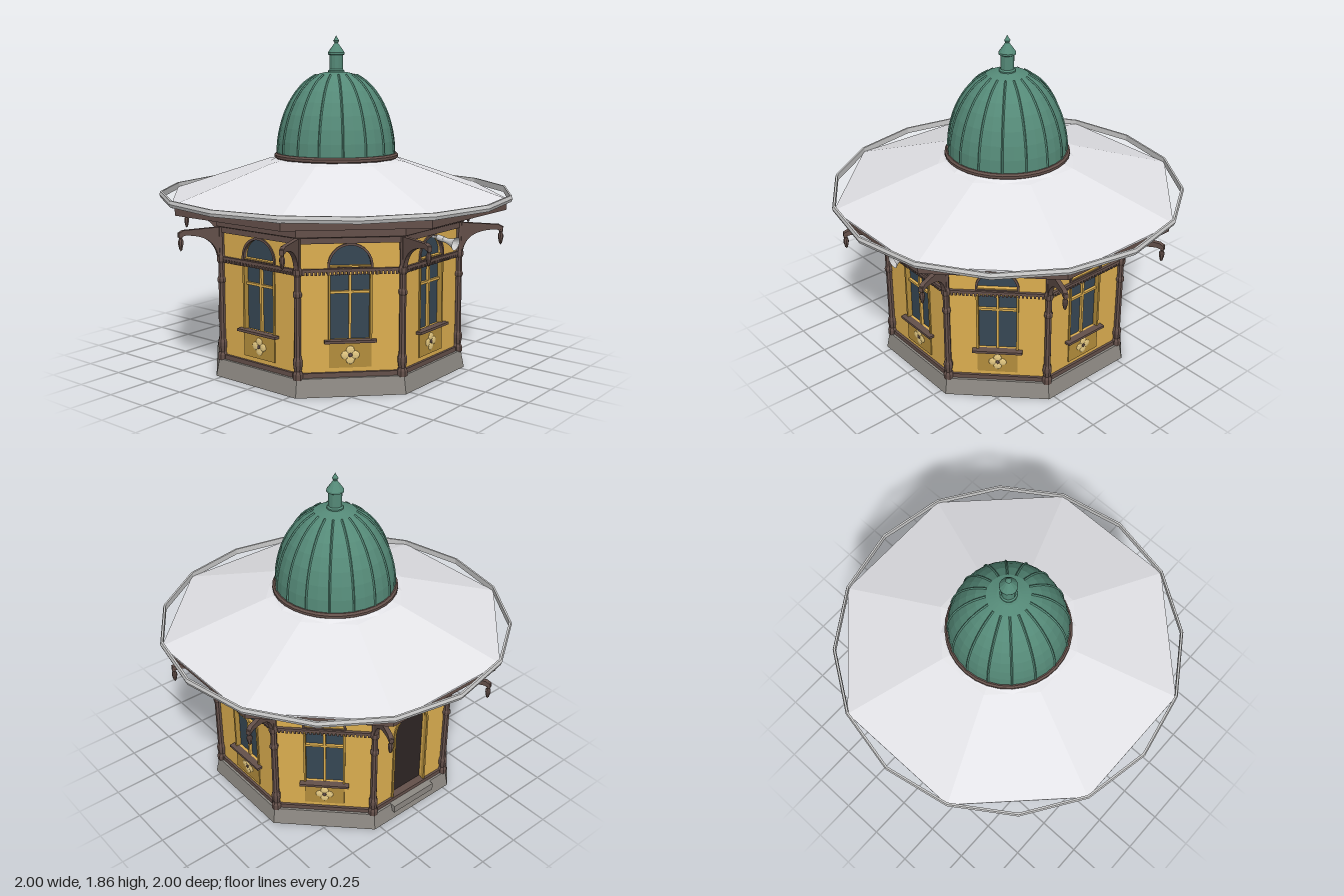
import * as THREE from 'three';

const mat = (color, side = THREE.FrontSide) =>
  new THREE.MeshStandardMaterial({ color, flatShading: true, side });
const M = {
  wall: mat(0xdcae50), gold: mat(0xb38d3c), cream: mat(0xe8cc84), brown: mat(0x64504a),
  glass: mat(0x364754), dark: mat(0x2e2524), stone: mat(0x8d8983),
  roof: mat(0xe4e4e8), copper: mat(0x558a78), rib: mat(0x3f6b5d), metal: mat(0xcccccc, THREE.DoubleSide),
};
const SIDES = 8, STEP = Math.PI / 4, CORNER = Math.PI / 8;
const WALL = 0.65; // distance from the axis to the wall face

function add(parent, name, geo, material, x = 0, y = 0, z = 0) {
  const m = new THREE.Mesh(geo, material);
  m.name = name;
  m.position.set(x, y, z);
  parent.add(m);
  return m;
}
const box = (p, name, material, w, h, d, x, y, z) =>
  add(p, name, new THREE.BoxGeometry(w, h, d), material, x, y, z);
const lathe = (pts, seg, start = 0) =>
  new THREE.LatheGeometry(pts.map(([r, y]) => new THREE.Vector2(r, y)), seg, start);
// octagonal lathe whose profile gives distances to the flat sides
const octagon = (pts) => lathe(pts.map(([a, y]) => [a / Math.cos(CORNER), y]), SIDES, CORNER);

function rectPath(P, hw, y0, y1) {
  const p = new P();
  p.moveTo(-hw, y0); p.lineTo(hw, y0); p.lineTo(hw, y1); p.lineTo(-hw, y1); p.closePath();
  return p;
}
function archPath(P, r, y0, yc) {
  const p = new P();
  p.moveTo(-r, y0); p.lineTo(r, y0); p.lineTo(r, yc);
  p.absarc(0, yc, r, 0, Math.PI, false);
  p.closePath();
  return p;
}
const extrude = (shape, depth) =>
  new THREE.ExtrudeGeometry(shape, { depth, bevelEnabled: false, curveSegments: 12 });

function wallPanel(side, holes) {
  const shape = rectPath(THREE.Shape, WALL * Math.tan(CORNER), 0.1, 0.82);
  shape.holes.push(...holes);
  add(side, 'wall', extrude(shape, 0.04), M.wall, 0, 0, WALL - 0.04);
}

function archTrim(side, r, y0, yc, material) {
  const trim = archPath(THREE.Shape, r + 0.008, y0, yc);
  trim.holes.push(archPath(THREE.Path, r - 0.004, y0 + 0.004, yc));
  add(side, 'archTrim', extrude(trim, 0.02), material, 0, 0, WALL - 0.012);
}

function windowSide(side) {
  wallPanel(side, [rectPath(THREE.Path, 0.11, 0.29, 0.635), archPath(THREE.Path, 0.11, 0.68, 0.681)]);
  box(side, 'glass', M.glass, 0.24, 0.53, 0.01, 0, 0.54, WALL - 0.03);
  archTrim(side, 0.11, 0.67, 0.681, M.brown);
  // frame and glazing bars
  for (const s of [-1, 1]) box(side, 'frame', M.gold, 0.012, 0.345, 0.03, s * 0.108, 0.4625, WALL - 0.008);
  box(side, 'mullion', M.wall, 0.013, 0.345, 0.018, 0, 0.4625, WALL - 0.018);
  box(side, 'transom', M.wall, 0.22, 0.013, 0.018, 0, 0.54, WALL - 0.018);
  box(side, 'windowSill', M.brown, 0.272, 0.014, 0.04, 0, 0.286, WALL + 0.012);
  // panel with a four-petal rosette
  box(side, 'apron', M.gold, 0.22, 0.135, 0.01, 0, 0.211, WALL + 0.001);
  for (let k = 0; k < 4; k++) {
    const a = k * Math.PI / 2;
    add(side, 'petal', new THREE.SphereGeometry(0.022, 10, 6), M.cream,
      Math.cos(a) * 0.027, 0.21 + Math.sin(a) * 0.027, WALL + 0.006).scale.z = 0.25;
  }
  add(side, 'rosetteCentre', new THREE.SphereGeometry(0.011, 8, 6), M.brown, 0, 0.21, WALL + 0.01).scale.z = 0.5;
  // toothed valance
  box(side, 'valance', M.brown, 0.51, 0.016, 0.016, 0, 0.66, WALL + 0.008);
  for (let k = 0; k < 24; k++)
    box(side, 'valanceTooth', M.brown, 0.012, 0.02, 0.01, (k - 11.5) * 0.021, 0.645, WALL + 0.008);
}

function doorSide(side) {
  wallPanel(side, [archPath(THREE.Path, 0.12, 0.101, 0.56)]);
  box(side, 'door', M.dark, 0.26, 0.6, 0.01, 0, 0.4, WALL - 0.035);
  archTrim(side, 0.12, 0.1, 0.56, M.gold);
  box(side, 'doorStep', M.stone, 0.3, 0.045, 0.08, 0, 0.075, 0.665);
}

function cornerPost() {
  const g = new THREE.Group();
  add(g, 'post', lathe([
    [0, 0.09], [0.028, 0.09], [0.028, 0.12], [0.02, 0.135], [0.026, 0.17], [0.026, 0.19], [0.019, 0.21],
    [0.018, 0.52], [0.024, 0.53], [0.024, 0.545], [0.018, 0.555], [0.018, 0.63], [0.025, 0.645],
    [0.025, 0.665], [0.018, 0.68], [0.02, 0.83], [0, 0.83]], 8), M.brown);
  // curved bracket
  const s = new THREE.Shape();
  s.moveTo(0, 0.64); s.lineTo(0.018, 0.65);
  s.quadraticCurveTo(0.03, 0.79, 0.205, 0.8);
  s.lineTo(0.24, 0.79); s.lineTo(0.24, 0.815); s.lineTo(0.215, 0.828); s.lineTo(0, 0.83);
  s.closePath();
  add(g, 'bracket', extrude(s, 0.024), M.brown, 0, 0, -0.012);
  add(g, 'pendant', lathe([[0, 0.715], [0.008, 0.725], [0.015, 0.755], [0.015, 0.77],
    [0.008, 0.785], [0.013, 0.8], [0.009, 0.82], [0, 0.822]], 8), M.brown, 0.228);
  return g;
}

export function createModel() {
  const model = new THREE.Group();
  model.name = 'kiosk';

  // base
  add(model, 'plinth', octagon([[0, 0], [0.695, 0], [0.677, 0.095], [0, 0.095]]), M.stone);
  add(model, 'baseMoulding', octagon([[0.6, 0.094], [0.664, 0.094], [0.664, 0.12], [0.6, 0.12]]), M.brown);

  // eight sides: seven windows and a door
  for (let i = 0; i < SIDES; i++) {
    const side = new THREE.Group();
    side.name = i === 6 ? 'doorSide' : 'windowSide';
    (i === 6 ? doorSide : windowSide)(side);
    side.rotation.y = i * STEP;
    model.add(side);

    const post = cornerPost(), a = CORNER + i * STEP;
    post.name = 'cornerPost';
    post.position.set(0.712 * Math.sin(a), 0, 0.712 * Math.cos(a));
    post.rotation.y = a - Math.PI / 2;
    model.add(post);
  }

  // eaves and roof
  add(model, 'frieze', octagon([[0.6, 0.8], [0.668, 0.8], [0.668, 0.83], [0.68, 0.835], [0.68, 0.885]]), M.brown);
  add(model, 'soffit', octagon([[0.6, 0.858], [0.89, 0.912]]), M.wall);
  add(model, 'fascia', octagon([[0.875, 0.91], [0.895, 0.91], [0.895, 0.953]]), M.brown);
  add(model, 'roof', octagon([[0.85, 0.95], [0.915, 0.952], [0.915, 0.962], [0.37, 1.157], [0.3, 1.17]]), M.roof);
  add(model, 'roofCollar', lathe([[0.43, 1.125], [0.385, 1.15], [0.345, 1.172], [0.3, 1.178]], 16), M.roof);
  add(model, 'gutterRing', lathe([[0.983, 0.955], [0.994, 0.955], [1, 0.972], [0.994, 0.99],
    [0.983, 0.99], [0.983, 0.955]], 16), M.metal);

  // dome
  add(model, 'domeRing', lathe([[0.3, 1.168], [0.342, 1.168], [0.352, 1.176], [0.352, 1.19],
    [0.342, 1.2], [0.3, 1.2]], 32), M.brown);
  const dome = [[0.335, 1.195], [0.33, 1.27], [0.316, 1.345], [0.293, 1.42], [0.26, 1.49], [0.22, 1.55],
    [0.172, 1.6], [0.115, 1.637], [0.06, 1.652], [0, 1.655]];
  add(model, 'dome', lathe(dome, 32), M.copper);
  const ribCurve = new THREE.CatmullRomCurve3(dome.slice(0, 8).map(([r, y]) => new THREE.Vector3(r, y, 0)));
  for (let i = 0; i < 16; i++)
    add(model, 'domeRib', new THREE.TubeGeometry(ribCurve, 14, 0.006, 4), M.copper).rotation.y = i * Math.PI / 8;
  add(model, 'finial', lathe([[0.046, 1.645], [0.046, 1.66], [0.038, 1.668], [0.038, 1.745], [0.048, 1.75],
    [0.048, 1.76], [0.016, 1.805], [0.01, 1.812], [0.017, 1.825], [0.008, 1.84], [0, 1.855]], 12), M.copper);

  // loudspeaker horn
  const horn = new THREE.Group();
  horn.name = 'loudspeaker';
  add(horn, 'horn', lathe([[0.012, 0], [0.015, 0.05], [0.024, 0.08], [0.037, 0.1]], 16), M.metal);
  add(horn, 'driver', new THREE.CylinderGeometry(0.016, 0.016, 0.04, 12), M.metal, 0, 0.005);
  add(horn, 'hornCore', new THREE.ConeGeometry(0.01, 0.05, 10), M.metal, 0, 0.06);
  horn.position.set(0.705, 0.785, 0);
  horn.rotation.z = -Math.PI / 2 - 0.2;
  model.add(horn);
  box(model, 'hornMount', M.metal, 0.07, 0.012, 0.012, 0.675, 0.788, 0);

  return model;
}
